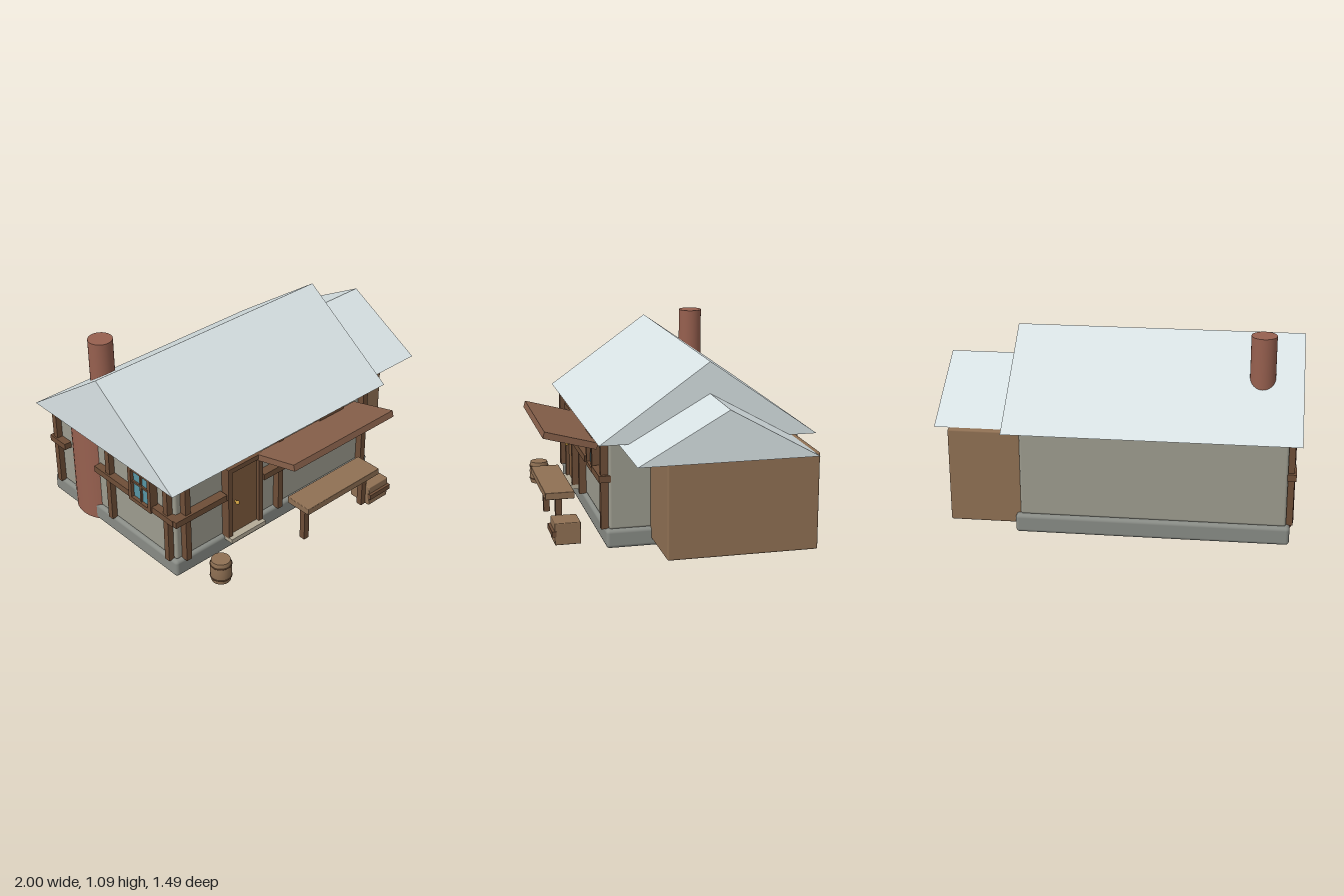
import * as THREE from 'three';
import { RoundedBoxGeometry } from 'three/addons/geometries/RoundedBoxGeometry.js';

const mat = (color) => new THREE.MeshStandardMaterial({ color });
const M = {
  roof: mat(0xd8e2e4), wall: mat(0x9c9b8e), base: mat(0x888b85), wood: mat(0x8f7053),
  timber: mat(0x6e4e37), door: mat(0x805c3d), awning: mat(0x87604a), brick: mat(0x97604f),
  glass: mat(0x5795a5), step: mat(0xb5ac98), knob: mat(0xc79a3f),
};

export function createModel() {
  const root = new THREE.Group();

  const add = (name, geo, material, parent = root) => {
    const mesh = new THREE.Mesh(geo, material);
    mesh.name = name;
    parent.add(mesh);
    return mesh;
  };
  // Box given by its min/max on each axis, rounded when r > 0
  const box = (name, [x0, x1], [y0, y1], [z0, z1], material, r = 0, parent = root) => {
    const s = [x1 - x0, y1 - y0, z1 - z0];
    const geo = r ? new RoundedBoxGeometry(...s, 3, r) : new THREE.BoxGeometry(...s);
    const mesh = add(name, geo, material, parent);
    mesh.position.set((x0 + x1) / 2, (y0 + y1) / 2, (z0 + z1) / 2);
    return mesh;
  };
  const group = (name, parent = root) => {
    const g = new THREE.Group();
    g.name = name;
    parent.add(g);
    return g;
  };
  const cylinder = (name, rTop, rBottom, y0, y1, x, z, material, parent = root) => {
    const mesh = add(name, new THREE.CylinderGeometry(rTop, rBottom, y1 - y0, 32), material, parent);
    mesh.position.set(x, (y0 + y1) / 2, z);
    return mesh;
  };

  // Foundation, house walls and side shed
  box('foundation', [-0.95, 0.55], [0, 0.105], [-0.69, 0.43], M.base, 0.02);
  box('houseWalls', [-0.93, 0.525], [0.1, 0.605], [-0.665, 0.41], M.wall, 0.015);
  box('shedWalls', [0.45, 0.92], [0.04, 0.58], [-0.65, 0.18], M.wood, 0.01);

  // Solid gable roofs, ridge along x
  const gable = (name, x0, x1, back, front, ridgeZ, y0, y1) => {
    const s = new THREE.Shape();
    s.moveTo(-front, y0);
    s.lineTo(-back, y0);
    s.lineTo(-ridgeZ, y1);
    s.closePath();
    const geo = new THREE.ExtrudeGeometry(s, { depth: x1 - x0, bevelEnabled: false });
    geo.rotateY(Math.PI / 2);
    geo.translate(x0, 0, 0);
    add(name, geo, M.roof);
  };
  gable('mainRoof', -1, 0.61, -0.74, 0.48, -0.13, 0.6, 1.03);
  gable('shedRoof', 0.5, 1, -0.62, 0.355, -0.13, 0.58, 0.855);

  // Chimney: broad stack against the left wall, slim flue through the roof
  cylinder('chimneyStack', 0.2, 0.2, 0.002, 0.6, -0.775, -0.38, M.brick);
  cylinder('chimneyFlue', 0.07, 0.07, 0.55, 1.09, -0.775, -0.38, M.brick);

  // Front timber framing
  const frame = group('timberFrame');
  for (const x of [-0.875, -0.195, 0.485])
    box('frontPost', [x - 0.018, x + 0.018], [0.1, 0.6], [0.4, 0.452], M.timber, 0, frame);
  for (const span of [[-0.97, -0.61], [-0.335, 0.09], [0.3, 0.525]])
    box('frontBeam', span, [0.37, 0.408], [0.4, 0.465], M.timber, 0, frame);
  // Left side timber framing
  for (const z of [-0.62, -0.13, 0.37])
    box('sidePost', [-0.965, -0.92], [0.1, 0.6], [z - 0.018, z + 0.018], M.timber, 0, frame);
  for (const span of [[-0.66, -0.52], [-0.24, 0.07], [0.27, 0.44]])
    box('sideBeam', [-0.975, -0.92], [0.37, 0.408], span, M.timber, 0, frame);

  // Window facing +z around its own centre
  const makeWindow = (name, x, y, z, turn) => {
    const w = group(name);
    const hw = 0.095, hh = 0.115, t = 0.025;
    box('glass', [-hw + 0.01, hw - 0.01], [-hh + 0.01, hh - 0.01], [-0.02, 0.025], M.glass, 0, w);
    for (const s of [-1, 1]) {
      const a = s * (hw - t / 2), b = s * (hh - t / 2);
      box('windowJamb', [a - t / 2, a + t / 2], [-hh, hh], [-0.02, 0.045], M.timber, 0, w);
      box('windowRail', [-hw, hw], [b - t / 2, b + t / 2], [-0.02, 0.045], M.timber, 0, w);
    }
    box('mullion', [-0.006, 0.006], [-hh, hh], [-0.02, 0.035], M.timber, 0, w);
    box('crossbar', [-hw, hw], [0.004, 0.016], [-0.02, 0.035], M.timber, 0, w);
    w.position.set(x, y, z);
    w.rotation.y = turn;
  };
  makeWindow('frontWindow', 0.195, 0.475, 0.415, 0);
  makeWindow('sideWindow', -0.935, 0.475, 0.17, -Math.PI / 2);

  // Door with frame, knob and step
  const door = group('door');
  box('doorPanel', [-0.575, -0.37], [0.105, 0.54], [0.4, 0.445], M.door, 0, door);
  for (const x of [-0.585, -0.36])
    box('doorJamb', [x - 0.015, x + 0.015], [0.1, 0.565], [0.4, 0.465], M.timber, 0, door);
  box('doorLintel', [-0.6, -0.345], [0.535, 0.565], [0.4, 0.465], M.timber, 0, door);
  const knob = add('doorKnob', new THREE.SphereGeometry(0.012, 16, 12), M.knob, door);
  knob.position.set(-0.535, 0.32, 0.465);
  const spindle = cylinder('knobSpindle', 0.006, 0.006, 0, 0.04, -0.535, 0.45, M.knob, door);
  spindle.position.y = 0.32;
  spindle.rotation.x = Math.PI / 2;
  box('doorStep', [-0.6, -0.345], [0.08, 0.108], [0.41, 0.49], M.step);

  // Awning, rising outward
  const awning = box('awning', [-0.38, 0.395], [0.563, 0.601], [0.442, 0.748], M.awning);
  awning.rotation.x = -0.265;

  // Bench
  const bench = group('bench');
  box('benchTop', [-0.25, 0.32], [0.23, 0.27], [0.565, 0.73], M.wood, 0.004, bench);
  for (const x of [-0.197, 0.27])
    box('benchLeg', [x - 0.018, x + 0.018], [0.005, 0.235], [0.632, 0.668], M.timber, 0, bench);

  // Crate with a slat across the front
  const crate = group('crate');
  box('crateBody', [0.285, 0.44], [0.005, 0.13], [0.552, 0.698], M.wood, 0.005, crate);
  box('crateSlat', [0.28, 0.445], [0.055, 0.086], [0.69, 0.714], M.timber, 0, crate);

  // Barrel with two hoops
  const barrel = group('barrel');
  const profile = [[0, 0], [0.053, 0], [0.058, 0.025], [0.06, 0.068], [0.058, 0.111], [0.053, 0.136], [0, 0.136]]
    .map(([r, y]) => new THREE.Vector2(r, y));
  // Separate lathes keep the flat ends crisp
  add('barrelBottom', new THREE.LatheGeometry(profile.slice(0, 2), 28), M.wood, barrel);
  add('barrelSide', new THREE.LatheGeometry(profile.slice(1, 6), 28), M.wood, barrel);
  add('barrelTop', new THREE.LatheGeometry(profile.slice(5), 28), M.wood, barrel);
  for (const y of [0.028, 0.108]) {
    const hoop = add('barrelHoop', new THREE.TorusGeometry(0.058, 0.004, 8, 28), M.timber, barrel);
    hoop.rotation.x = Math.PI / 2;
    hoop.position.y = y;
  }
  barrel.position.set(-0.785, 0.014, 0.606);

  return root;
}
